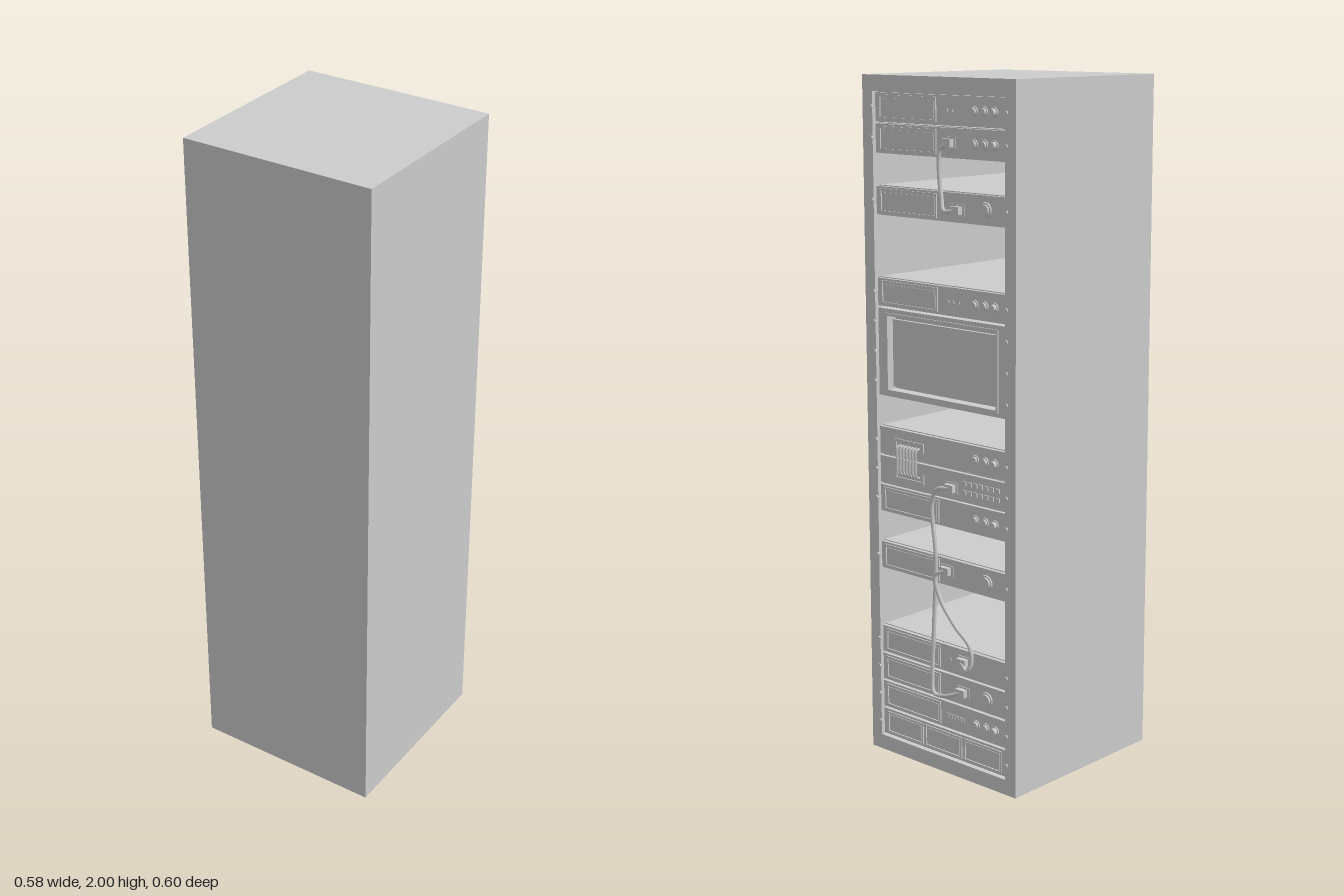
import * as THREE from 'three';

const BACK = -0.28;      // face of the cabinet frame on the open side
const PANEL = -0.27;     // face of the device panels, slightly recessed
const TOP = 1.955, U = 0.0868;   // rack top and height of one slot
const slotY = (k) => TOP - (k + 0.5) * U;

const grey = new THREE.MeshStandardMaterial({ color: 0xcccccc });

function add(parent, name, geometry, x = 0, y = 0, z = 0) {
  const m = new THREE.Mesh(geometry, grey);
  m.name = name;
  m.position.set(x, y, z);
  parent.add(m);
  return m;
}

// Box whose outer face sits 'out' beyond the face z
function plate(parent, name, w, h, x, y, out, depth = 0.01, face = PANEL) {
  return add(parent, name, new THREE.BoxGeometry(w, h, depth), x, y, face - out + depth / 2);
}

// Round part pointing towards -z
function round(parent, name, r, out, x, y, face = PANEL, sides = 16) {
  const g = new THREE.CylinderGeometry(r * 0.88, r, out + 0.004, sides).rotateX(-Math.PI / 2);
  return add(parent, name, g, x, y, face - out / 2 + 0.002);
}

function frame(w, h, holeW, holeH, depth) {
  const rect = (P, a, b) => new P([[-a, -b], [a, -b], [a, b], [-a, b]].map(([x, y]) => new THREE.Vector2(x / 2, y / 2)));
  const s = rect(THREE.Shape, w, h);
  s.holes.push(rect(THREE.Path, holeW, holeH));
  return new THREE.ExtrudeGeometry(s, { depth, bevelEnabled: false });
}

function device(parent, name, slot, slots = 1) {
  const g = new THREE.Group();
  g.name = name;
  g.position.y = TOP - (slot + slots / 2) * U;
  parent.add(g);
  for (let i = 0; i < slots; i++) {
    for (const s of [-1, 1]) round(g, 'rackScrew', 0.007, 0.004, s * 0.256, (i - (slots - 1) / 2) * U, BACK, 8);
  }
  return g;
}

// One-slot box: body, front panel and an optional drive bay
function unit(parent, name, slot, bay = true) {
  const g = device(parent, name, slot);
  add(g, 'body', new THREE.BoxGeometry(0.5, U - 0.002, 0.54), 0, 0, 0.012);
  plate(g, 'panel', 0.498, U - 0.007, 0, 0, 0, 0.015);
  if (bay) {
    add(g, 'bayFrame', frame(0.224, 0.068, 0.212, 0.056, 0.006), 0.122, 0, PANEL - 0.004);
    plate(g, 'bayDoor', 0.204, 0.048, 0.122, 0, 0.002);
  }
  return g;
}

function knobs(g) {
  [-0.13, -0.167, -0.204].forEach((x, i) => {
    round(g, 'knobRing', 0.016, 0.003, x, 0);
    round(g, 'knob', 0.011, i === 2 ? 0.013 : 0.009, x, 0);
  });
}

function dial(g) {
  round(g, 'dialRing', 0.024, 0.004, -0.172, 0, PANEL, 20);
  round(g, 'dial', 0.018, 0.009, -0.172, 0, PANEL, 20);
}

function lights(g, n) {
  for (let i = 0; i < n; i++) plate(g, 'light', 0.008, 0.008, -0.03 - i * 0.02, 0, 0.003);
}

// Cable with a plug at each end
function cable(parent, name, points, r = 0.006) {
  const g = new THREE.Group();
  g.name = name;
  parent.add(g);
  const path = new THREE.CatmullRomCurve3(points.map((p) => new THREE.Vector3(...p)));
  add(g, 'cord', new THREE.TubeGeometry(path, 48, r, 8));
  for (const p of [points[0], points[points.length - 1]]) {
    plate(g, 'plug', 0.034, 0.022, p[0], p[1], 0.018, 0.02);
    plate(g, 'socket', 0.048, 0.032, p[0], p[1], 0.003);
  }
}

export function createModel() {
  const model = new THREE.Group();
  model.name = 'equipmentRack';

  // Cabinet shell, closed at the front and open at the back
  add(model, 'cabinetShell', frame(0.58, 2, 0.502, 1.91, 0.56), 0, 1, BACK);
  add(model, 'cabinetFront', new THREE.BoxGeometry(0.58, 2, 0.02), 0, 1, 0.29);

  // Devices with a row of small knobs
  for (const [slot, n] of [[0, 2], [1, 0], [6, 3], [13, 0], [20, 0]]) {
    const g = unit(model, 'knobUnit', slot);
    knobs(g);
    lights(g, n);
    if (slot === 20) {
      for (let i = 0; i < 6; i++) plate(g, 'vent', 0.007, 0.014, -0.02 - i * 0.012, 0, 0.003);
    }
  }

  // Devices with one large dial
  for (const slot of [3, 15, 19]) dial(unit(model, 'dialUnit', slot));
  lights(unit(model, 'plainUnit', 18), 1);

  // Monitor over three slots with a sunken screen
  const monitor = device(model, 'monitor', 7, 3);
  add(monitor, 'monitorBody', new THREE.BoxGeometry(0.5, 3 * U - 0.002, 0.51), 0, 0, 0.02);
  add(monitor, 'bezel', frame(0.498, 3 * U - 0.006, 0.42, 0.215, 0.03), 0, 0, PANEL);
  add(monitor, 'screenRim', frame(0.436, 0.231, 0.42, 0.215, 0.008), 0, 0, PANEL - 0.004);
  add(monitor, 'screen', new THREE.BoxGeometry(0.4, 0.195, 0.01), 0, 0, PANEL + 0.014);

  // Patch panels joined by short jumper leads
  const upper = unit(model, 'patchUnit', 11, false);
  knobs(upper);
  const lower = unit(model, 'portUnit', 12, false);
  for (let r = 0; r < 2; r++) {
    for (let i = 0; i < 7; i++) plate(lower, 'port', 0.013, 0.013, -0.09 - i * 0.021, 0.013 - r * 0.026, 0.004);
  }
  const jumpers = new THREE.Group();
  jumpers.name = 'jumperLeads';
  model.add(jumpers);
  for (let i = 0; i < 7; i++) {
    const x = 0.09 + i * 0.0125;
    const path = new THREE.CatmullRomCurve3([[0.953, -0.266], [0.948, -0.282], [0.91, -0.284], [0.872, -0.282], [0.866, -0.266]]
      .map(([y, z]) => new THREE.Vector3(x, y, z)));
    add(jumpers, 'jumper', new THREE.TubeGeometry(path, 16, 0.0035, 6));
  }
  for (const [y, s] of [[0.966, 1], [0.853, -1]]) {
    plate(jumpers, 'portStrip', 0.11, 0.008, 0.128, y, 0.004);
    for (const x of [0.073, 0.183]) plate(jumpers, 'portStripEnd', 0.006, 0.028, x, y - s * 0.01, 0.004);
  }

  // Bottom unit with three drive bays
  const drives = unit(model, 'driveUnit', 21, false);
  for (const x of [-0.157, 0, 0.157]) {
    add(drives, 'driveFrame', frame(0.148, 0.066, 0.138, 0.056, 0.006), x, 0, PANEL - 0.004);
    plate(drives, 'driveDoor', 0.13, 0.048, x, 0, 0.002);
  }

  // Hanging cables
  cable(model, 'upperCable', [[-0.04, slotY(1), -0.282], [-0.018, 1.805, -0.286], [-0.012, 1.75, -0.284],
    [-0.02, 1.68, -0.284], [-0.035, 1.642, -0.29], [-0.07, 1.645, -0.282]]);
  cable(model, 'longCable', [[-0.04, 0.862, -0.284], [0.0, 0.855, -0.29], [0.024, 0.81, -0.286], [0.012, 0.65, -0.285],
    [0.022, 0.45, -0.284], [0.028, 0.29, -0.286], [0.018, 0.24, -0.291], [-0.03, 0.243, -0.291], [-0.08, 0.262, -0.284]]);
  cable(model, 'middleCable', [[-0.02, 0.615, -0.284], [0.008, 0.6, -0.292], [-0.004, 0.53, -0.285], [-0.06, 0.46, -0.283],
    [-0.118, 0.41, -0.283], [-0.125, 0.36, -0.285], [-0.112, 0.338, -0.29], [-0.085, 0.355, -0.284]]);

  return model;
}
